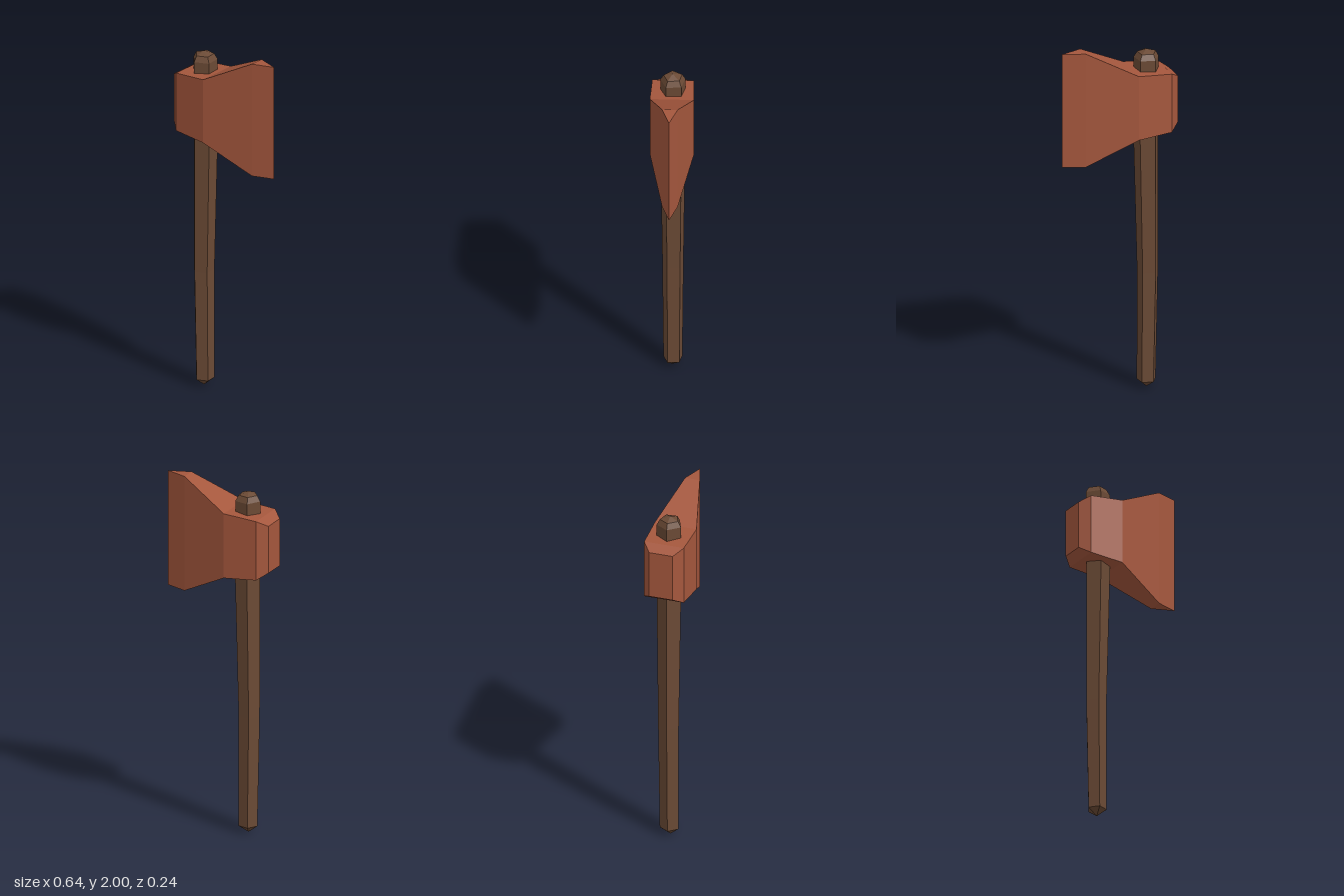
import * as THREE from 'three';

// Skin a list of rings (each an array of Vector3, equal length) and close both ends with fans.
// A ring must run counter-clockwise when seen from the far end of the list.
function loft(rings, startTip, endTip) {
  const pos = [];
  const tri = (...pts) => pts.forEach((p) => pos.push(p.x, p.y, p.z));
  const n = rings[0].length;
  for (let j = 0; j < n; j++) {
    const k = (j + 1) % n;
    for (let i = 0; i < rings.length - 1; i++) {
      const a = rings[i], b = rings[i + 1];
      tri(a[j], a[k], b[k]);
      tri(a[j], b[k], b[j]);
    }
    const last = rings[rings.length - 1];
    tri(rings[0][k], rings[0][j], startTip);
    tri(last[j], last[k], endTip);
  }
  const geo = new THREE.BufferGeometry();
  geo.setAttribute('position', new THREE.Float32BufferAttribute(pos, 3));
  geo.computeVertexNormals();
  return geo;
}

function part(name, geo, color) {
  const mesh = new THREE.Mesh(geo, new THREE.MeshStandardMaterial({ color, flatShading: true }));
  mesh.name = name;
  return mesh;
}

export function createModel() {
  const group = new THREE.Group();
  group.name = 'axe';

  // Five-sided, slightly bent handle: height, centre x, radius
  const handleRings = [
    [0.045, -0.166, 0.054],
    [0.68, -0.174, 0.06],
    [1.5, -0.164, 0.071],
    [1.915, -0.166, 0.071],
    [1.947, -0.167, 0.053],
  ].map(([y, cx, r]) => Array.from({ length: 5 }, (_, i) => {
    const a = THREE.MathUtils.degToRad(31 - i * 72);
    return new THREE.Vector3(cx + r * Math.cos(a), y, -0.003 + r * Math.sin(a));
  }));
  group.add(part('handle', loft(handleRings,
    new THREE.Vector3(-0.167, 0.005, 0), new THREE.Vector3(-0.167, 1.965, 0)), 0x6b4a35));

  // Wedge-shaped head, from poll to cutting edge: x, bottom, top, half thickness
  const headRings = [
    [-0.322, 1.54, 1.81, 0.067],
    [-0.27, 1.505, 1.843, 0.113],
    [-0.078, 1.488, 1.858, 0.119],
    [0.2, 1.343, 2, 0.042],
    [0.32, 1.343, 2, 0.0005],
  ].map(([x, y0, y1, h]) => [[y0, h], [y0, -h], [y1, -h], [y1, h]]
    .map(([y, z]) => new THREE.Vector3(x, y, z)));
  group.add(part('axeHead', loft(headRings,
    new THREE.Vector3(-0.322, 1.675, 0), new THREE.Vector3(0.32, 1.672, 0)), 0xa5573d));

  return group;
}
